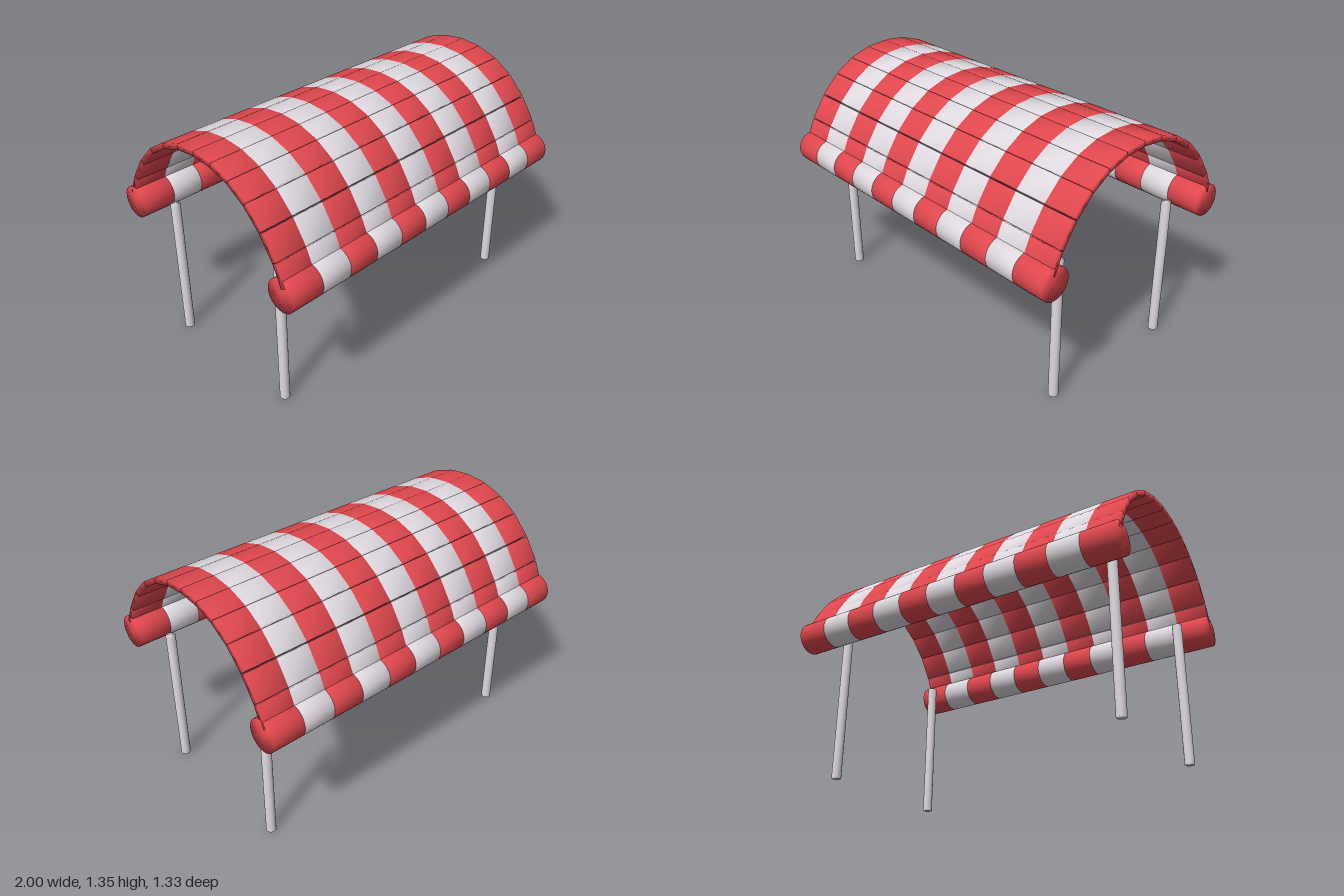
import * as THREE from 'three';
import { mergeVertices } from 'three/addons/utils/BufferGeometryUtils.js';

const STRIPES = 11;
const WIDTH = 2 / STRIPES;

// Weld corners so shading runs softly over the edges
function soften(geometry) {
  geometry.deleteAttribute('normal');
  geometry.deleteAttribute('uv');
  const welded = mergeVertices(geometry, 1e-4);
  welded.computeVertexNormals();
  return welded;
}

export function createModel() {
  const model = new THREE.Group();
  const red = new THREE.MeshStandardMaterial({ color: 0xe0484e });
  red.name = 'awning red';
  const white = new THREE.MeshStandardMaterial({ color: 0xe0dae0 });
  white.name = 'soft white';

  // One row of alternating red and white pieces along x
  function stripedRow(name, geometry) {
    const row = new THREE.Group();
    row.name = name;
    for (let i = 0; i < STRIPES; i++) {
      const piece = new THREE.Mesh(geometry, i % 2 ? white : red);
      piece.name = i % 2 ? 'whiteStripe' : 'redStripe';
      piece.position.x = -1 + WIDTH * (i + 0.5);
      row.add(piece);
    }
    model.add(row);
    return row;
  }

  // Arched canopy: flat slats between the joints of a half profile [z, y]
  const half = [[0, 1.331], [0.123, 1.319], [0.244, 1.279], [0.354, 1.21],
    [0.457, 1.106], [0.54, 0.981], [0.592, 0.866]];
  for (const side of [1, -1]) {
    for (let i = 0; i < half.length - 1; i++) {
      const [z0, y0] = half[i];
      const [z1, y1] = half[i + 1];
      const length = Math.hypot(z1 - z0, y1 - y0) - 0.004;
      const slat = stripedRow('canopySlat', soften(new THREE.BoxGeometry(WIDTH, 0.03, length)));
      slat.position.set(0, (y0 + y1) / 2, side * (z0 + z1) / 2);
      slat.rotation.x = side * Math.atan2(y0 - y1, z1 - z0);
    }
  }

  // Rolled edges along the front and back
  const rollGeometry = soften(new THREE.CylinderGeometry(0.09, 0.09, WIDTH, 32).rotateZ(Math.PI / 2));
  for (const side of [1, -1]) {
    const roll = stripedRow(side > 0 ? 'frontRoll' : 'backRoll', rollGeometry);
    roll.position.set(0, 0.82, side * 0.575);
  }

  // Four posts
  const postGeometry = soften(new THREE.CylinderGeometry(0.027, 0.027, 0.82, 20));
  for (const x of [0.867, -0.867]) {
    for (const z of [0.41, -0.41]) {
      const post = new THREE.Mesh(postGeometry, white);
      post.name = (z > 0 ? 'front' : 'back') + (x > 0 ? 'Left' : 'Right') + 'Post';
      post.position.set(x, 0.41, z);
      model.add(post);
    }
  }
  return model;
}
